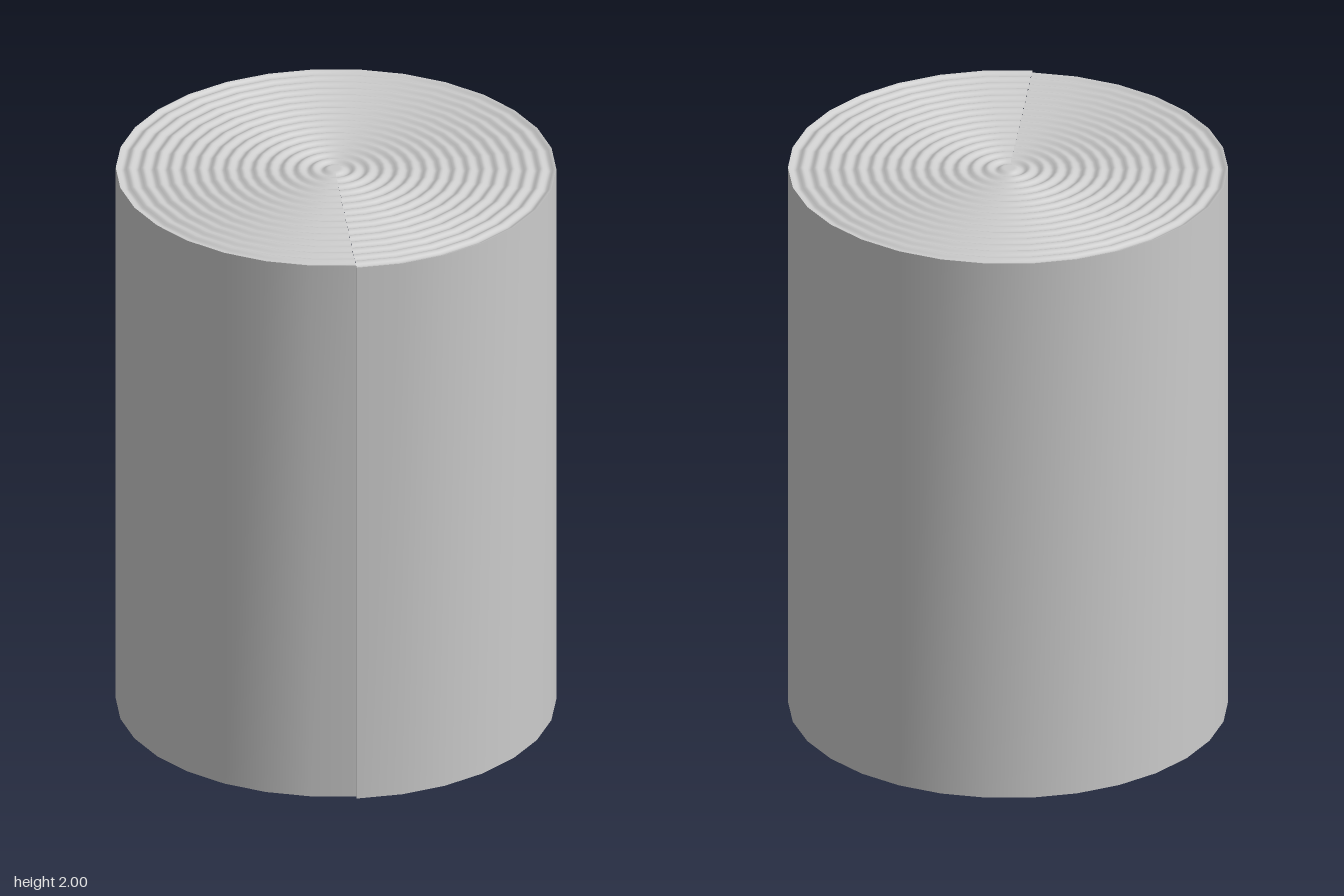
import * as THREE from 'three';

const SIDES = 30, HEIGHT = 2;
const R0 = 0.733, STEP = 0.016;      // start radius and growth over the last turn
const RIPPLES = 15.5, DEPTH = 0.01;  // windings seen on the top end
const CENTRE = -0.004;

// Point on the roll: u runs once around the spiral, t is the share of the radius
function rollPoint(u, t, y) {
  const angle = -Math.PI / 30 - u * Math.PI * 2;
  const r = (R0 + STEP * u) * t;
  return [CENTRE + Math.sin(angle) * r, y, CENTRE + Math.cos(angle) * r];
}

// Height of the rippled end: a small dome at the centre, then rounded ridges
function topHeight(t) {
  const k = t * RIPPLES;
  if (k < 0.5) return HEIGHT;
  return HEIGHT - DEPTH * (0.5 + 0.5 * Math.cos(k * Math.PI * 2));
}

// Smooth surface swept around the spiral from a profile of [share of radius, height]
function sweep(profile) {
  const positions = [], index = [], row = profile.length;
  for (let i = 0; i <= SIDES; i++) {
    for (const [t, y] of profile) positions.push(...rollPoint(i / SIDES, t, y));
  }
  for (let i = 0; i < SIDES; i++) {
    for (let j = 0; j < row - 1; j++) {
      const a = i * row + j, b = a + row;
      index.push(a, b, b + 1, a, b + 1, a + 1);
    }
  }
  const geometry = new THREE.BufferGeometry();
  geometry.setAttribute('position', new THREE.Float32BufferAttribute(positions, 3));
  geometry.setIndex(index);
  geometry.computeVertexNormals();
  return geometry;
}

export function createModel() {
  const group = new THREE.Group();
  group.name = 'roll';
  const material = new THREE.MeshStandardMaterial({ color: 0xcccccc });
  const add = (name, geometry, mat = material) => {
    const mesh = new THREE.Mesh(geometry, mat);
    mesh.name = name;
    group.add(mesh);
  };

  // Rippled top end
  const rings = RIPPLES * 8;
  const topProfile = Array.from({ length: rings + 1 }, (_, j) => [j / rings, topHeight(j / rings)]);
  add('topEnd', sweep(topProfile));

  // Outer layer and flat bottom end
  add('outerLayer', sweep([[1, HEIGHT], [1, 0]]));
  add('bottomEnd', sweep([[1, 0], [0, 0]]));

  // Loose edge where the outer layer ends
  const edge = new THREE.BufferGeometry();
  edge.setAttribute('position', new THREE.Float32BufferAttribute([
    ...rollPoint(0, 1, 0), ...rollPoint(1, 1, 0), ...rollPoint(1, 1, HEIGHT), ...rollPoint(0, 1, HEIGHT),
  ], 3));
  edge.setIndex([0, 1, 2, 0, 2, 3]);
  edge.computeVertexNormals();
  add('layerEdge', edge, new THREE.MeshStandardMaterial({ color: 0xcccccc, side: THREE.DoubleSide }));

  return group;
}
